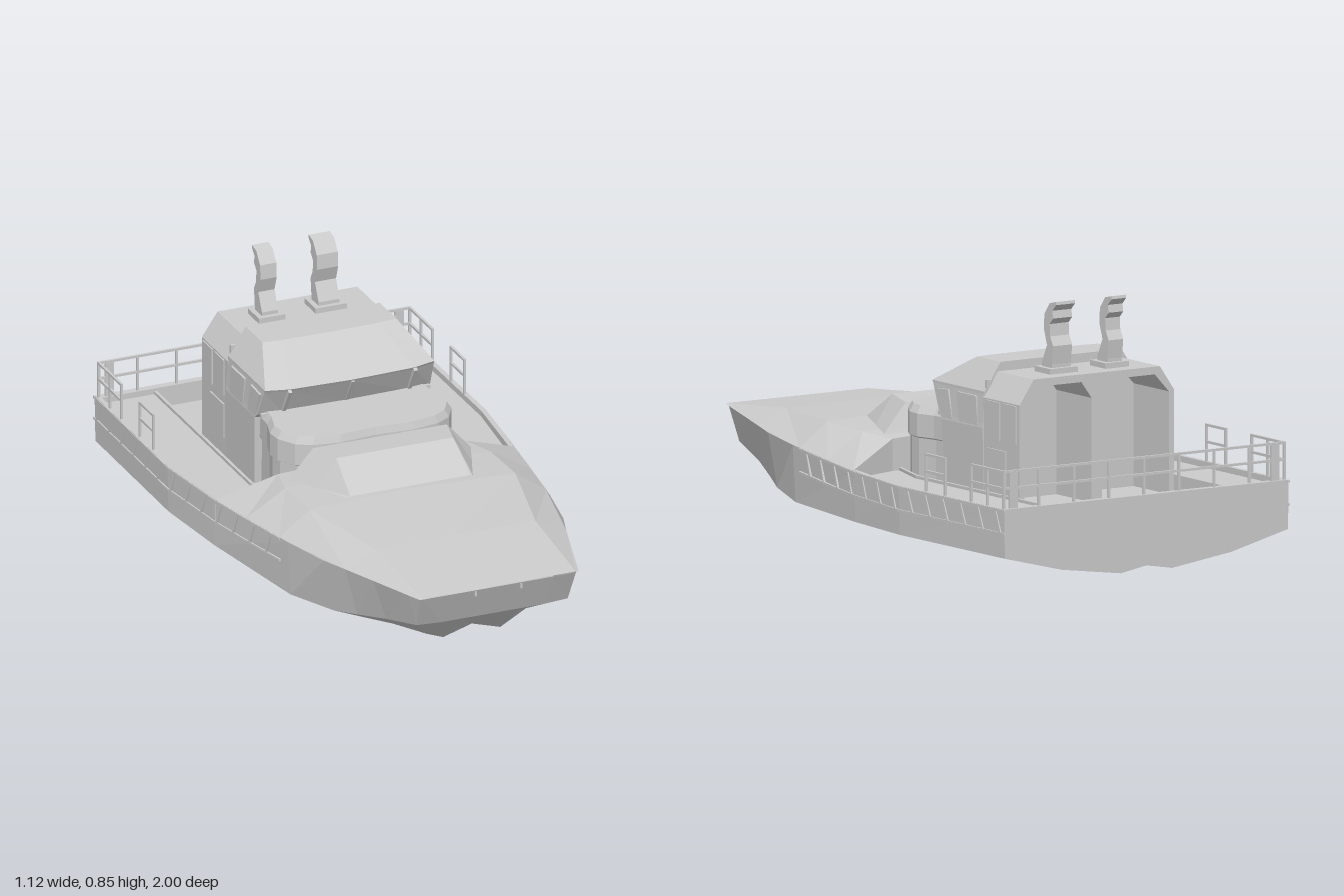
import * as THREE from 'three';

const mat = new THREE.MeshStandardMaterial({ color: 0xcccccc, flatShading: true, side: THREE.DoubleSide });

// Mirror a half section (listed from the centreline outward) into a full one
const sym = (half) => [
  ...half.filter((p) => p[0] !== 0).reverse().map(([x, y, z]) => [-x, y, z]),
  ...half,
];

// Skin between cross-sections; closed joins the last point to the first, caps fill the ends
function loft(rings, { closed = false, capStart = false, capEnd = false } = {}) {
  const pos = [];
  const tri = (a, b, c) => pos.push(...a, ...b, ...c);
  for (let i = 0; i < rings.length - 1; i++) {
    const a = rings[i], b = rings[i + 1], n = a.length;
    for (let j = 0; j < (closed ? n : n - 1); j++) {
      const k = (j + 1) % n;
      tri(a[j], a[k], b[j]);
      tri(a[k], b[k], b[j]);
    }
  }
  const cap = (r) => {
    const c = [0, 1, 2].map((d) => r.reduce((s, p) => s + p[d], 0) / r.length);
    r.forEach((p, j) => tri(c, r[(j + 1) % r.length], p));
  };
  if (capStart) cap(rings[0]);
  if (capEnd) cap(rings[rings.length - 1]);
  const g = new THREE.BufferGeometry();
  g.setAttribute('position', new THREE.Float32BufferAttribute(pos, 3));
  g.computeVertexNormals();
  return g;
}

function add(parent, name, geo) {
  const m = new THREE.Mesh(geo, mat);
  m.name = name;
  parent.add(m);
  return m;
}

function box(parent, name, w, h, d, x, y, z) {
  add(parent, name, new THREE.BoxGeometry(w, h, d)).position.set(x, y, z);
}

// Thin square bar between two points
function bar(parent, name, a, b, t = 0.008) {
  const A = new THREE.Vector3(...a), B = new THREE.Vector3(...b);
  const m = add(parent, name, new THREE.BoxGeometry(t, t, A.distanceTo(B) + t));
  m.position.copy(A).lerp(B, 0.5);
  m.lookAt(B);
}

const polygon = (pts) => new THREE.Shape(pts.map(([x, y]) => new THREE.Vector2(x, y)));

// Extrude a (z, y) profile across x, centred on x
function extrudeAcross(pts, width, x) {
  const g = new THREE.ExtrudeGeometry(polygon(pts), { depth: width, bevelEnabled: false });
  return g.rotateY(-Math.PI / 2).translate(x + width / 2, 0, 0);
}

// Sheer line: z, half beam, height
const sheer = [[-1, 0.553, 0.25], [-0.4, 0.557, 0.25], [-0.1, 0.525, 0.255], [0.1, 0.497, 0.264],
  [0.35, 0.46, 0.277], [0.55, 0.42, 0.287], [0.78, 0.345, 0.298], [0.95, 0.295, 0.307], [1, 0.28, 0.31]];
function sheerAt(z) {
  let i = 0;
  while (i < sheer.length - 2 && sheer[i + 1][0] < z) i++;
  const [a, b] = [sheer[i], sheer[i + 1]], t = (z - a[0]) / (b[0] - a[0]);
  return [a[1] + (b[1] - a[1]) * t, a[2] + (b[2] - a[2]) * t];
}

function buildHull(root) {
  // Per station: z, centre y, keel y, inner chine x/y, outer chine x/y
  const stations = [
    [-1, 0.02, 0.003, 0.33, 0.035, 0.55, 0.09], [-0.4, 0.02, 0.001, 0.33, 0.035, 0.553, 0.09],
    [-0.1, 0.02, 0, 0.33, 0.035, 0.522, 0.09], [0.35, 0.02, 0, 0.3, 0.04, 0.45, 0.09],
    [0.55, 0.02, 0.001, 0.25, 0.05, 0.385, 0.105], [0.65, 0.035, 0.012, 0.22, 0.07, 0.345, 0.125],
    [0.78, 0.085, 0.055, 0.19, 0.105, 0.3, 0.155], [0.945, 0.19, 0.19, 0.18, 0.19, 0.265, 0.195],
    [1, 0.308, 0.308, 0.19, 0.308, 0.27, 0.308]];
  const rings = stations.map(([z, c, k, ix, iy, ox, oy]) => {
    const [sx, sy] = sheerAt(z);
    return sym([[0, c, z], [0.1, k, z], [ix, iy, z], [ox, oy, z], [sx, sy, z]]);
  });
  add(root, 'hull', loft(rings, { capStart: true }));

  // Side decks with a sunken centre well
  add(root, 'aftDeck', loft([-1, -0.4, -0.2, -0.03].map((z) => {
    const [x, y] = sheerAt(z), w = z > -0.1 ? 0.3 : 0.35;
    return sym([[0, 0.18, z], [w - 0.005, 0.18, z], [w - 0.005, 0.24, z], [w + 0.005, 0.24, z],
      [w + 0.005, 0.23, z], [x - 0.015, 0.23, z], [x - 0.015, y, z], [x, y, z]]);
  })));
  box(root, 'transomBulwark', 1.1, 0.07, 0.025, 0, 0.215, -0.987);

  // Fender ladders along both sides
  for (const s of [-1, 1]) {
    const fender = new THREE.Group();
    fender.name = s > 0 ? 'leftFender' : 'rightFender';
    const at = (z, drop) => { const [x, y] = sheerAt(z); return [s * (x - 0.001), y - drop, z]; };
    for (let i = 0; i < 13; i++) {
      const z = -1 + i * 0.1;
      bar(fender, 'fenderTop', at(z, 0.005), at(z + 0.1, 0.005));
      bar(fender, 'fenderBottom', at(z, 0.08), at(z + 0.1, 0.08));
      bar(fender, 'fenderStrut', at(z + 0.02, 0.08), at(z + 0.05, 0.005));
    }
    root.add(fender);
  }
}

function buildForedeck(root) {
  // Per station: z at edge, z at centre, plateau x/y, centre y
  const rows = [[-0.09, -0.03, 0.33, 0.335, 0.35], [0.1, 0.1, 0.36, 0.345, 0.36], [0.3, 0.3, 0.36, 0.352, 0.365],
    [0.65, 0.65, 0.28, 0.342, 0.345], [1, 1, 0.27, 0.312, 0.312]];
  const rings = rows.map(([ze, zc, px, py, cy]) => {
    const [x, y] = sheerAt(ze);
    return sym([[0, cy, zc], [px, py, zc], [x, y, ze]]);
  });
  add(root, 'foredeck', loft(rings));
  add(root, 'foredeckBulkhead', loft([rings[0], rings[0].map(([x, , z]) => [x, 0.18, z])]));
  // Raised trunk: z, base x/y, top x/y
  const trunk = [[0.28, 0.22, 0.36, 0.21, 0.364], [0.155, 0.27, 0.352, 0.205, 0.446],
    [0.035, 0.325, 0.335, 0.235, 0.437], [0, 0.25, 0.335, 0.225, 0.36]];
  add(root, 'foredeckTrunk', loft(trunk.map(([z, bx, by, tx, ty]) => sym([[0, ty, z], [tx, ty, z], [bx, by, z]])),
    { capEnd: true }));
  for (const x of [-0.08, 0.08]) box(root, 'bowFairlead', 0.008, 0.018, 0.008, x, 0.295, 0.995);
}

function buildCabin(root) {
  // Round-fronted lower house
  const plan = sym([[0, 0, 0.005], [0.13, 0, 0.015], [0.22, 0, 0], [0.27, 0, -0.03], [0.305, 0, -0.09],
    [0.31, 0, -0.14], [0.29, 0, -0.21], [0.285, 0, -0.3]]);
  const level = (y, f) => plan.map(([x, , z]) => [x * f, y, -0.14 + (z + 0.14) * f]);
  add(root, 'lowerHouse', loft([level(0.18, 0.97), level(0.35, 0.97), level(0.355, 1), level(0.43, 1), level(0.455, 0.95)],
    { closed: true, capEnd: true }));

  // Wheelhouse with forward-raked windscreen: y, front z, half width, corner setback
  const rows = [[0.18, -0.28, 0.3, 0.01], [0.43, -0.255, 0.305, 0.02], [0.445, -0.24, 0.303, 0.02],
    [0.54, -0.185, 0.297, 0.03], [0.548, -0.18, 0.297, 0.03], [0.64, -0.365, 0.235, 0.01]];
  add(root, 'wheelhouse', loft(rows.map(([y, zf, w, s]) =>
    sym([[0, y, zf], [w * 0.73, y, zf - s * 0.3], [w, y, zf - s], [w, y, -0.51]])), { closed: true, capEnd: true }));
  for (const x of [-0.22, 0, 0.22]) bar(root, 'windscreenPillar', [x, 0.448, -0.243], [x, 0.538, -0.188], 0.012);
  bar(root, 'windscreenSill', [-0.29, 0.445, -0.247], [0.29, 0.445, -0.247], 0.012);

  // Rear house, open aft through two arched bays
  const house = polygon([[-0.3, 0.18], [0.3, 0.18], [0.3, 0.53], [0.245, 0.61], [-0.245, 0.61], [-0.3, 0.53]]);
  for (const s of [-1, 1]) {
    house.holes.push(new THREE.Path([[0.02, 0.19], [0.02, 0.53], [0.06, 0.585], [0.225, 0.585], [0.28, 0.525], [0.28, 0.19]]
      .map(([x, y]) => new THREE.Vector2(s * x, y))));
  }
  add(root, 'rearHouse', new THREE.ExtrudeGeometry(house, { depth: 0.21, bevelEnabled: false }).translate(0, 0, -0.715));
  box(root, 'rearBulkhead', 0.58, 0.4, 0.01, 0, 0.385, -0.508);

  // Side windows and doors, as (z, y) outlines
  const panes = [
    [[-0.235, 0.525], [-0.31, 0.53], [-0.335, 0.435], [-0.275, 0.435]],
    [[-0.36, 0.53], [-0.47, 0.53], [-0.48, 0.435], [-0.375, 0.435]],
    [[-0.53, 0.525], [-0.605, 0.525], [-0.605, 0.4], [-0.53, 0.4]],
    [[-0.625, 0.525], [-0.7, 0.525], [-0.7, 0.4], [-0.625, 0.4]],
    [[-0.53, 0.37], [-0.64, 0.37], [-0.64, 0.25], [-0.53, 0.25]]];
  for (const s of [-1, 1]) {
    panes.forEach((p, i) => add(root, i === 4 ? 'sideHatch' : 'sideWindow', extrudeAcross(p, 0.012, s * 0.299)));
  }
}

function buildExhausts(root) {
  const profile = [[-0.59, 0.61], [-0.59, 0.64], [-0.62, 0.7], [-0.602, 0.75], [-0.605, 0.8], [-0.635, 0.838],
    [-0.67, 0.846], [-0.672, 0.836], [-0.65, 0.815], [-0.655, 0.79], [-0.635, 0.77], [-0.638, 0.73],
    [-0.655, 0.7], [-0.648, 0.64], [-0.648, 0.61]];
  for (const [x, w] of [[-0.115, 0.057], [0.092, 0.074]]) {
    add(root, 'exhaustStack', extrudeAcross(profile, w, x));
    box(root, 'exhaustBase', w + 0.035, 0.02, 0.09, x, 0.618, -0.618);
  }
}

function buildRailings(root) {
  const rail = (name, a, b, posts) => {
    const g = new THREE.Group();
    g.name = name;
    const at = (t, y) => [a[0] + (b[0] - a[0]) * t, y, a[1] + (b[1] - a[1]) * t];
    for (const y of [0.37, 0.315]) bar(g, 'railBar', at(0, y), at(1, y));
    for (let i = 0; i < posts; i++) bar(g, 'railPost', at(i / (posts - 1), 0.235), at(i / (posts - 1), 0.37));
    root.add(g);
  };
  for (const s of [-1, 1]) {
    rail('aftSideRail', [s * 0.545, -0.985], [s * 0.545, -0.8], 3);
    rail('midSideRail', [s * 0.545, -0.65], [s * 0.545, -0.54], 2);
    box(root, 'sternRailPlate', 0.03, 0.125, 0.01, s * 0.508, 0.307, -0.985);
  }
  rail('sternRail', [-0.545, -0.985], [0.545, -0.985], 9);
}

export function createModel() {
  const boat = new THREE.Group();
  boat.name = 'patrolBoat';
  [buildHull, buildForedeck, buildCabin, buildExhausts, buildRailings].forEach((build) => build(boat));
  return boat;
}
